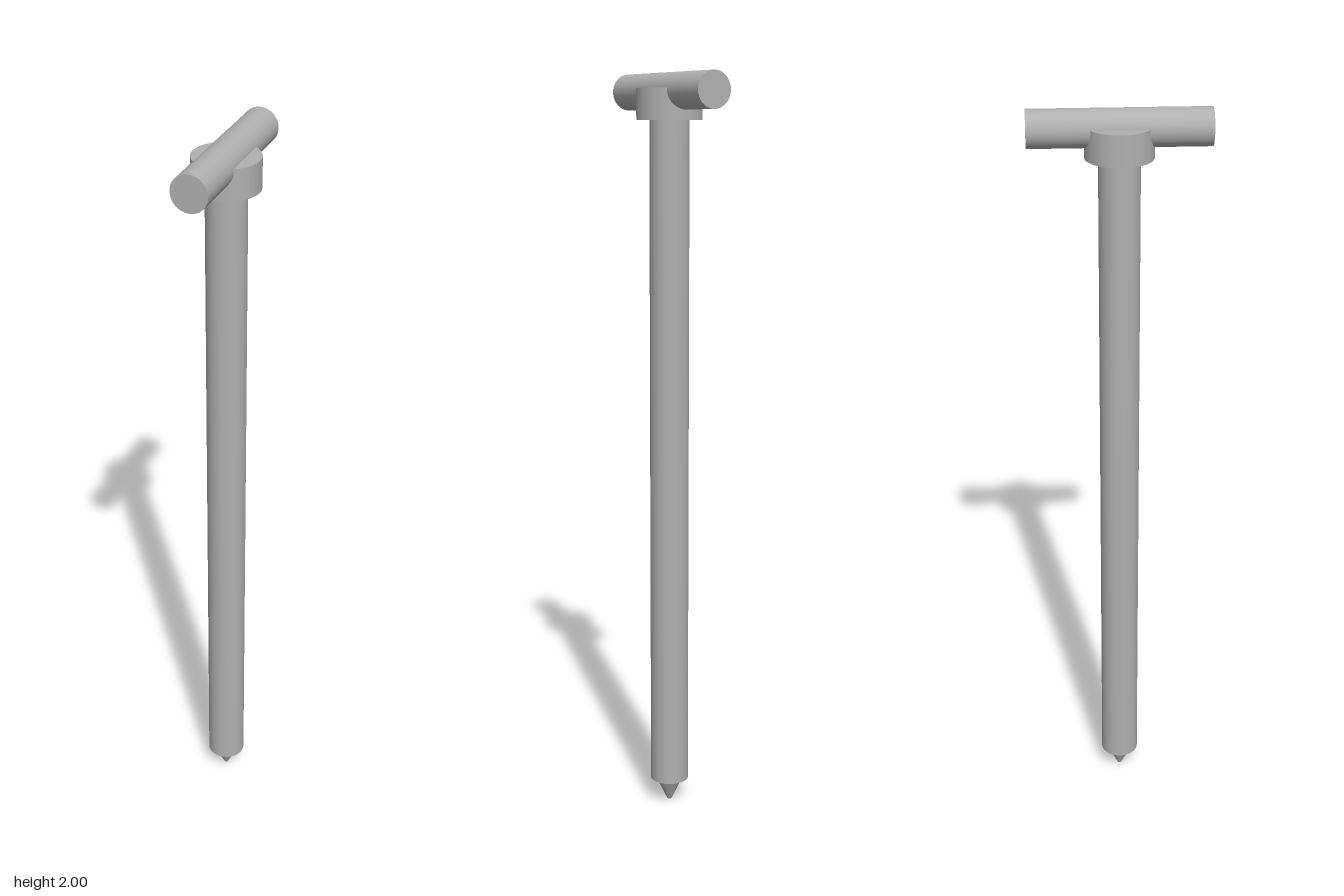
import * as THREE from 'three';

export function createModel() {
  const model = new THREE.Group();
  model.name = 'tHandledStake';
  const steel = new THREE.MeshStandardMaterial({ color: 0xb0b0b0 });
  steel.name = 'grey steel';

  // Upright cylinder between two heights
  function rod(name, rTop, rBottom, y0, y1) {
    const mesh = new THREE.Mesh(new THREE.CylinderGeometry(rTop, rBottom, y1 - y0, 64), steel);
    mesh.name = name;
    mesh.position.y = (y0 + y1) / 2;
    model.add(mesh);
    return mesh;
  }

  // Pointed end, narrower than the shaft so a small shoulder remains
  rod('tip', 0.037, 0.006, 0, 0.065);
  rod('shaft', 0.052, 0.052, 0.065, 1.885);
  rod('collar', 0.0855, 0.0855, 1.88, 1.96);

  // Crossbar lying front to back, sunk into the collar
  const handle = rod('handle', 0.047, 0.047, 1.728, 2.178);
  handle.rotation.x = Math.PI / 2;

  return model;
}
